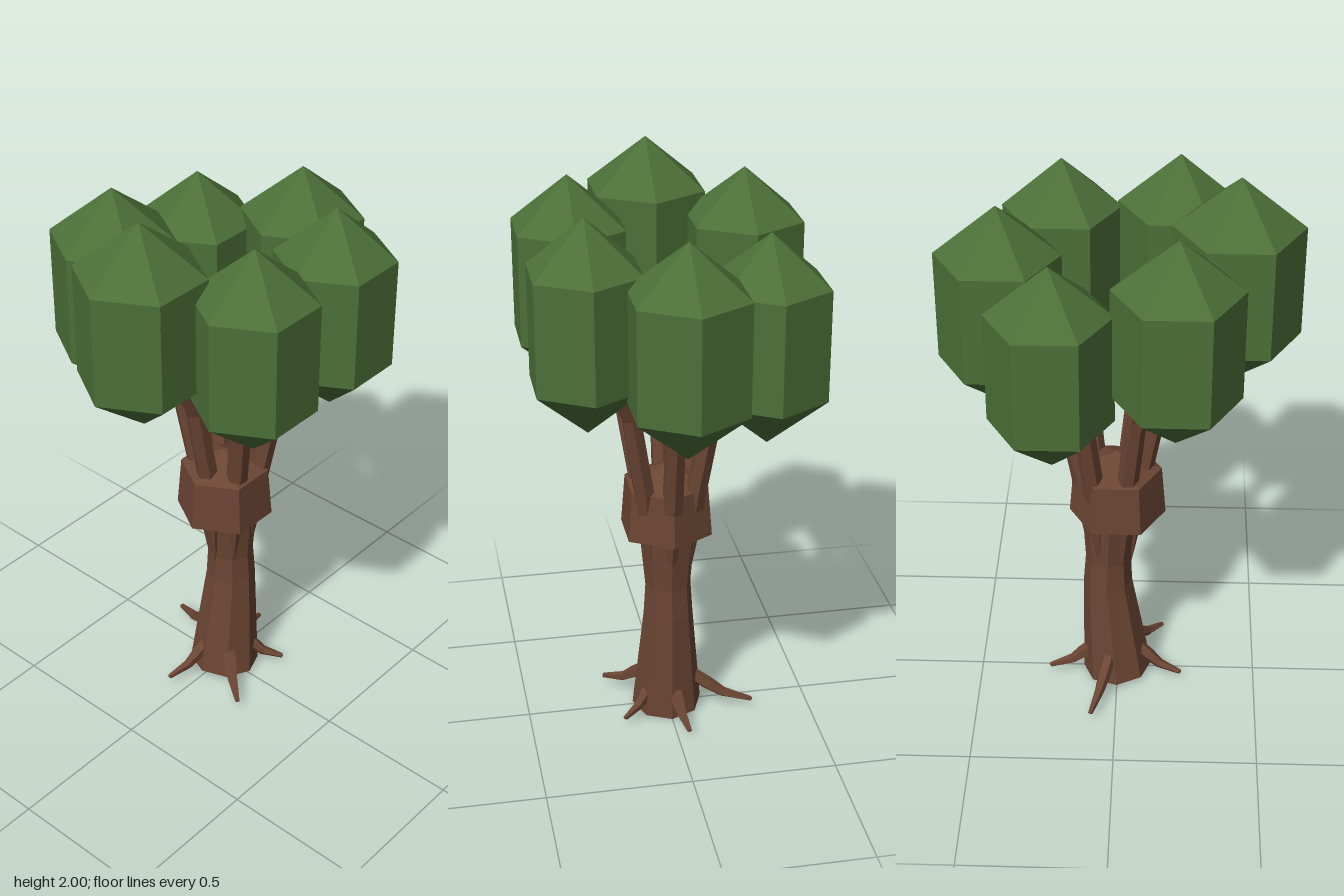
import * as THREE from 'three';

const UP = new THREE.Vector3(0, 1, 0);

// Faceted skin through rings given as [x, y, z, radius]; radius 0 closes an end.
function loft(rings, sides) {
  const centres = rings.map(([x, y, z]) => new THREE.Vector3(x, y, z));
  const loops = rings.map(([, , , r], i) => {
    const next = centres[Math.min(i + 1, rings.length - 1)];
    const prev = centres[Math.max(i - 1, 0)];
    const turn = new THREE.Quaternion().setFromUnitVectors(UP, next.clone().sub(prev).normalize());
    return Array.from({ length: sides }, (_, j) => {
      const a = (j / sides) * Math.PI * 2;
      return new THREE.Vector3(Math.cos(a) * r, 0, Math.sin(a) * r).applyQuaternion(turn).add(centres[i]);
    });
  });
  const corners = [];
  for (let i = 0; i < rings.length - 1; i++) {
    for (let j = 0; j < sides; j++) {
      const k = (j + 1) % sides;
      const [a, b, c, d] = [loops[i][j], loops[i][k], loops[i + 1][j], loops[i + 1][k]];
      if (rings[i][3] > 0) corners.push(a, c, b);
      if (rings[i + 1][3] > 0) corners.push(b, c, d);
    }
  }
  const geometry = new THREE.BufferGeometry().setFromPoints(corners);
  geometry.computeVertexNormals();
  return geometry;
}

export function createModel() {
  const tree = new THREE.Group();
  tree.name = 'tree';
  const bark = new THREE.MeshStandardMaterial({ color: 0x6b4533 });
  bark.name = 'bark brown';
  const leaf = new THREE.MeshStandardMaterial({ color: 0x4c7038 });
  leaf.name = 'leaf green';

  const add = (name, material, rings, sides) => {
    const mesh = new THREE.Mesh(loft(rings, sides), material);
    mesh.name = name;
    tree.add(mesh);
  };

  // Leaning trunk, narrow at mid height
  add('trunk', bark, [
    [0, 0.015, 0, 0], [0, 0.015, 0, 0.124], [0.035, 0.41, 0, 0.087],
    [0.033, 0.52, 0, 0.08], [0.025, 0.74, 0, 0.1], [0.025, 0.74, 0, 0],
  ], 8);

  // Swollen knot where the branches part
  add('knot', bark, [
    [0, 0.67, 0, 0], [0, 0.72, 0, 0.167], [0, 0.9, 0, 0.152], [0, 0.97, 0, 0],
  ], 6);

  // Leaf clumps as [x, z, apex height, radius], each carried by one branch
  const clumps = [
    [-0.385, 0, 2.0, 0.212], [0.385, 0, 1.89, 0.207],
    [-0.197, 0.292, 1.94, 0.205], [0.193, 0.292, 1.92, 0.199],
    [-0.195, -0.3, 1.935, 0.21], [0.203, -0.3, 1.84, 0.204],
  ];
  for (const [x, z, top, r] of clumps) {
    add('leafClump', leaf, [
      [x, top - 0.725, z, 0], [x, top - 0.55, z, r], [x, top - 0.17, z, r], [x, top, z, 0],
    ], 6);

    const reach = Math.hypot(x, z);
    const at = (out, y, radius) => [0.022 + (x / reach) * out, y, (z / reach) * out, radius];
    add('branch', bark, [
      at(0.07, 0.49, 0), at(0.085, 0.7, 0.026), at(0.108, 0.9, 0.037),
      at(0.165, 1.2, 0.035), at(0.225, 1.32, 0.033), at(0.29, top - 0.48, 0.025), at(0.3, top - 0.46, 0),
    ], 6);
  }

  // Surface roots, given by the position of their tips
  const tips = [[-0.165, 0.21], [0.13, 0.175], [0.25, -0.04], [0.09, -0.3], [-0.235, -0.065]];
  for (const [x, z] of tips) {
    const at = (f, y, radius) => [x * f, y, z * f, radius];
    add('root', bark, [
      at(0.3, 0.125, 0.024), at(0.5, 0.085, 0.024), at(0.66, 0.055, 0.018),
      at(0.98, 0.033, 0.009), at(1, 0.032, 0),
    ], 5);
  }
  return tree;
}
